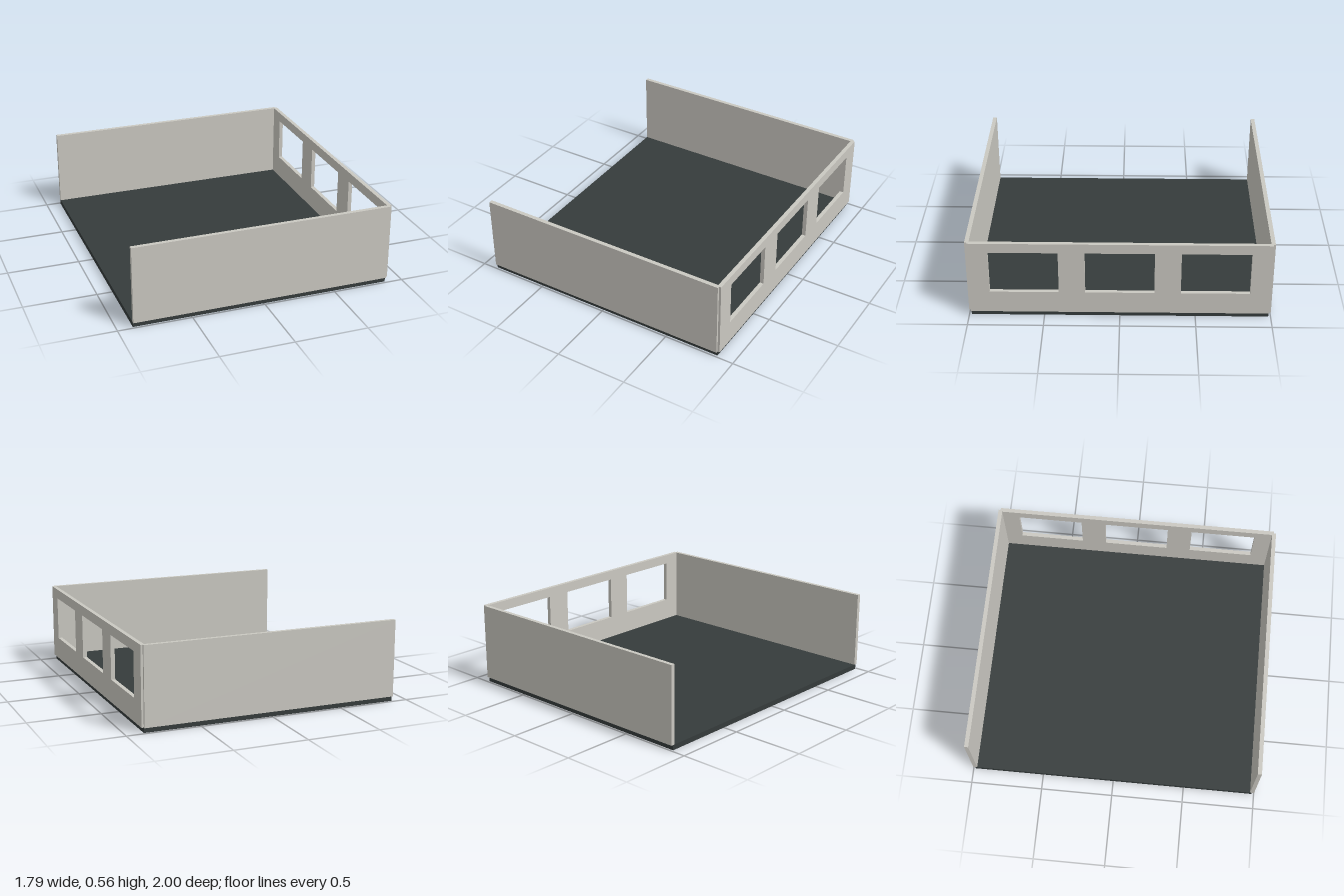
import * as THREE from 'three';

export function createModel() {
  const model = new THREE.Group();
  model.name = 'openRoom';

  const wallPaint = new THREE.MeshStandardMaterial({ color: 0xcac8c1 });
  wallPaint.name = 'warmGreyWall';
  const floorPaint = new THREE.MeshStandardMaterial({ color: 0x353b3b });
  floorPaint.name = 'darkSlateFloor';

  const floorTop = 0.035, wallTop = 0.565, thickness = 0.028;
  const left = 0.88, right = -0.895; // extent of the floor and the end walls
  const width = left - right, midX = (left + right) / 2;
  const halfDepth = 0.985;

  function addBox(name, material, size, position) {
    const mesh = new THREE.Mesh(new THREE.BoxGeometry(...size), material);
    mesh.name = name;
    mesh.position.set(...position);
    model.add(mesh);
  }

  // Floor slab
  addBox('floor', floorPaint, [width, floorTop, halfDepth * 2], [midX, floorTop / 2, 0]);

  // Solid front and back walls, straddling the floor edge
  const wallHeight = wallTop - floorTop;
  for (const [name, side] of [['frontWall', 1], ['backWall', -1]]) {
    addBox(name, wallPaint, [width, wallHeight, thickness],
      [midX, floorTop + wallHeight / 2, side * (1 - thickness / 2)]);
  }

  // Left wall with three window openings, drawn along z and extruded along x
  const rectangle = (Type, a0, b0, a1, b1) => new Type([
    new THREE.Vector2(a0, b0), new THREE.Vector2(a1, b0),
    new THREE.Vector2(a1, b1), new THREE.Vector2(a0, b1),
  ]);
  const outline = rectangle(THREE.Shape, -halfDepth, floorTop, halfDepth, wallTop);
  for (const centre of [-0.627, 0, 0.627]) {
    outline.holes.push(rectangle(THREE.Path, centre - 0.227, 0.193, centre + 0.227, 0.497));
  }
  const windowWall = new THREE.Mesh(
    new THREE.ExtrudeGeometry(outline, { depth: thickness, bevelEnabled: false }), wallPaint);
  windowWall.name = 'windowWall';
  windowWall.rotation.y = Math.PI / 2;
  windowWall.position.x = 0.895 - thickness;
  model.add(windowWall);

  return model;
}
